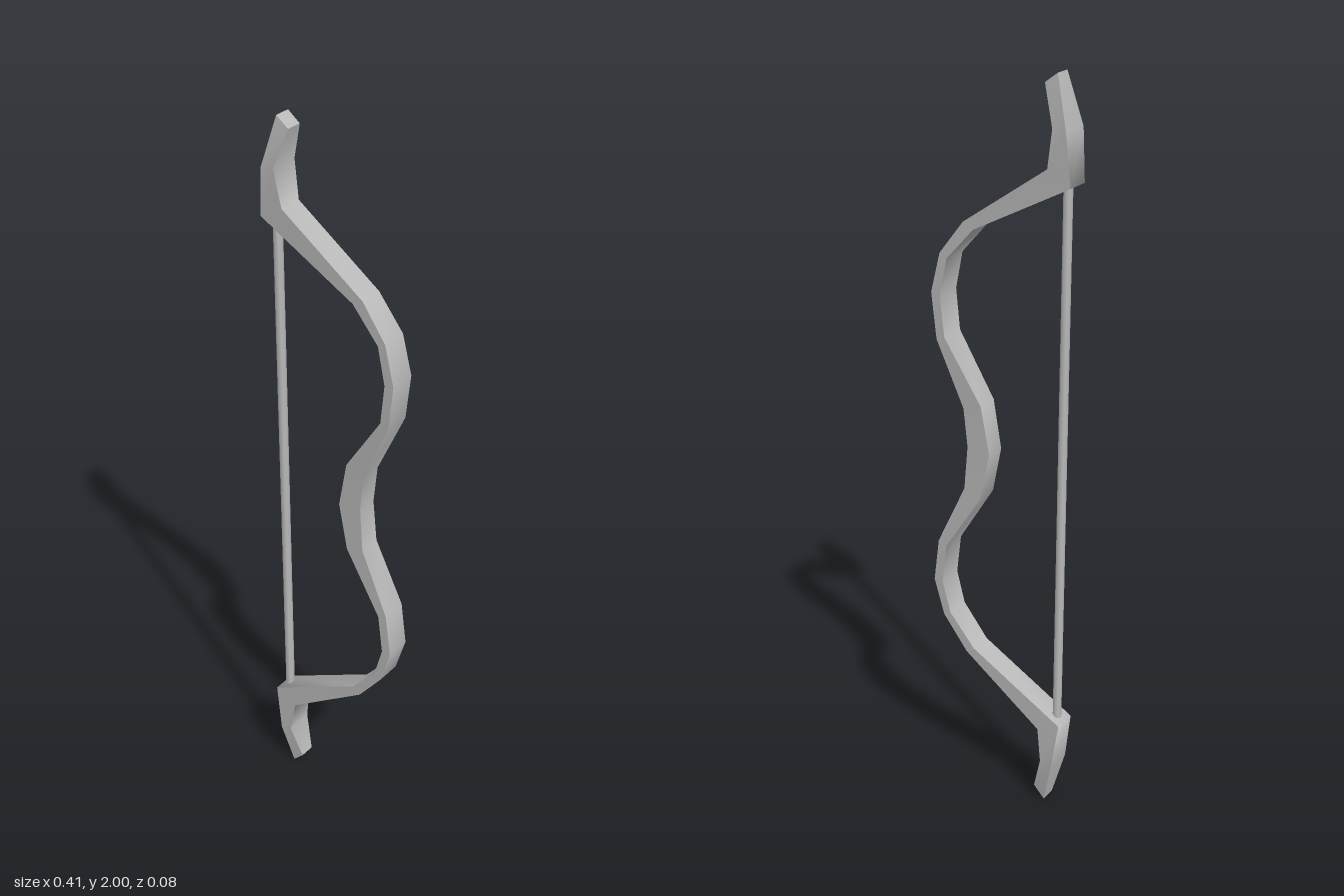
import * as THREE from 'three';

// Stations along the bow: [inner x, inner y, outer x, outer y, half depth, z centre]
const STATIONS = [
  [-0.158, 2.000, -0.124, 1.975, 0.021, 0.003],
  [-0.193, 1.871, -0.156, 1.876, 0.039, 0.003],
  [-0.204, 1.741, -0.140, 1.778, 0.032, 0.002],
  [0.069, 1.598, 0.098, 1.614, 0.032, 0.001],
  [0.146, 1.513, 0.167, 1.524, 0.035, 0.001],
  [0.167, 1.413, 0.193, 1.418, 0.036, 0],
  [0.156, 1.304, 0.180, 1.295, 0.035, 0],
  [0.050, 1.137, 0.103, 1.120, 0.030, 0],
  [0.026, 1.005, 0.093, 1.014, 0.028, 0],
  [0.053, 0.877, 0.103, 0.893, 0.030, 0],
  [0.161, 0.707, 0.185, 0.718, 0.035, 0],
  [0.175, 0.596, 0.201, 0.596, 0.035, 0],
  [0.151, 0.506, 0.172, 0.495, 0.034, 0],
  [0.077, 0.416, 0.101, 0.400, 0.032, 0],
  [-0.196, 0.262, -0.130, 0.230, 0.032, 0],
  [-0.177, 0.125, -0.143, 0.135, 0.038, 0],
  [-0.146, 0.000, -0.114, 0.034, 0.021, 0],
];

// Rectangular sections swept into four strips, smooth lengthwise and sharp at the edges
function bowGeometry() {
  const pos = [], index = [];
  const rings = STATIONS.map(([ix, iy, ox, oy, h, z]) => [
    [ix, iy, z + h], [ox, oy, z + h], [ox, oy, z - h], [ix, iy, z - h],
  ]);
  for (let side = 0; side < 4; side++) {
    const base = pos.length / 3;
    rings.forEach((r, i) => {
      pos.push(...r[side], ...r[(side + 1) % 4]);
      if (i === 0) return;
      const a = base + (i - 1) * 2;
      index.push(a, a + 2, a + 1, a + 1, a + 2, a + 3);
    });
  }
  // Flat caps on both tips
  [rings[0], rings[rings.length - 1].slice().reverse()].forEach((r) => {
    const b = pos.length / 3;
    r.forEach((p) => pos.push(...p));
    index.push(b, b + 1, b + 2, b, b + 2, b + 3);
  });
  const g = new THREE.BufferGeometry();
  g.setAttribute('position', new THREE.Float32BufferAttribute(pos, 3));
  g.setIndex(index);
  g.computeVertexNormals();
  return g;
}

export function createModel() {
  const model = new THREE.Group();
  model.name = 'bow';
  const grey = new THREE.MeshStandardMaterial({ color: 0xb8b8b8 });
  grey.name = 'grey';

  const limbs = new THREE.Mesh(bowGeometry(), grey);
  limbs.name = 'limbsAndGrip';
  model.add(limbs);

  // Bowstring, leaning slightly between the two nocks
  const top = new THREE.Vector3(-0.179, 1.745, 0.002);
  const bottom = new THREE.Vector3(-0.172, 0.25, 0);
  const axis = top.clone().sub(bottom);
  const string = new THREE.Mesh(new THREE.CylinderGeometry(0.011, 0.011, axis.length(), 8), grey);
  string.name = 'bowstring';
  string.scale.z = 1.25;
  string.position.copy(top).add(bottom).multiplyScalar(0.5);
  string.quaternion.setFromUnitVectors(new THREE.Vector3(0, 1, 0), axis.normalize());
  model.add(string);

  return model;
}
